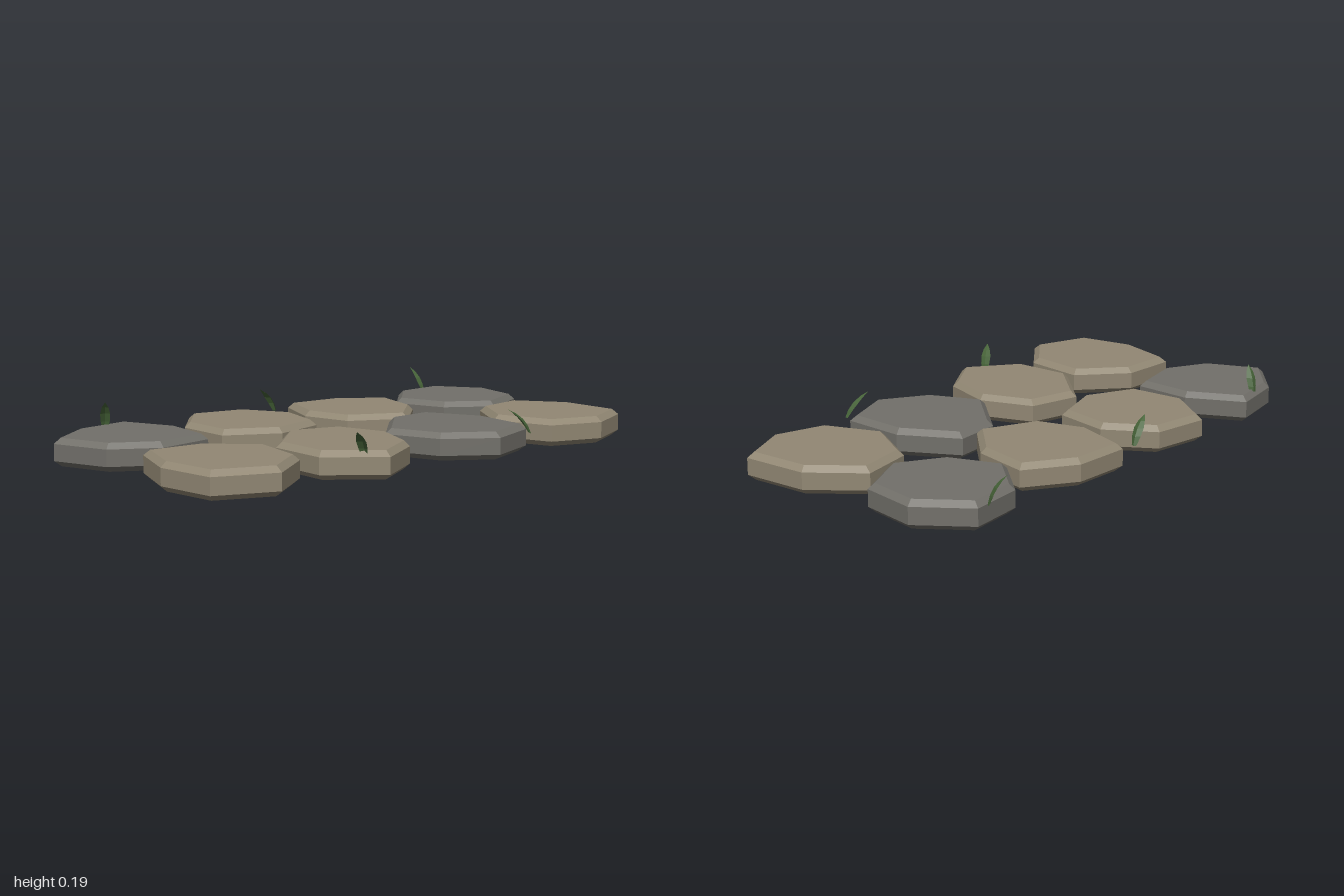
import * as THREE from 'three';

const sand = new THREE.MeshStandardMaterial({ color: 0x928874, flatShading: true });
const slate = new THREE.MeshStandardMaterial({ color: 0x72706a, flatShading: true });
const leaf = new THREE.MeshStandardMaterial({ color: 0x466338, flatShading: true, side: THREE.DoubleSide });

// Seven-sided outlines as [x, z], starting at the back corner
const stones = [
  ['stoneBackRight', slate, [[-.33, -1], [-.12, -.96], [-.025, -.76], [-.13, -.59], [-.33, -.52], [-.49, -.67], [-.51, -.875]]],
  ['stoneBackLeft', sand, [[.16, -.98], [.41, -.99], [.5, -.8], [.44, -.6], [.22, -.52], [.02, -.64], [-.02, -.845]]],
  ['stoneMidBackRight', sand, [[-.38, -.515], [-.165, -.46], [-.01, -.3], [-.11, -.09], [-.3, -.04], [-.51, -.12], [-.5, -.34]]],
  ['stoneMidBackLeft', slate, [[.195, -.49], [.435, -.475], [.515, -.27], [.4, -.09], [.2, -.01], [0, -.2], [-.015, -.38]]],
  ['stoneMidFrontRight', sand, [[-.32, .005], [-.11, .055], [-.045, .26], [-.14, .455], [-.365, .46], [-.535, .325], [-.5, .11]]],
  ['stoneMidFrontLeft', sand, [[.24, .01], [.44, .085], [.555, .27], [.41, .455], [.175, .455], [-.01, .27], [.04, .075]]],
  ['stoneFrontRight', slate, [[-.33, .515], [-.11, .535], [-.065, .75], [-.155, .92], [-.365, 1], [-.5, .83], [-.54, .61]]],
  ['stoneFrontLeft', sand, [[.175, .495], [.41, .535], [.545, .71], [.465, .93], [.235, .96], [.01, .88], [.02, .66]]],
];

// Grass blades: base and tip
const blades = [
  [[-.505, .075, -.82], [-.557, .177, -.79]],
  [[.485, .075, -.445], [.445, .163, -.37]],
  [[-.508, .075, -.055], [-.495, .165, .025]],
  [[.483, .075, .32], [.522, .17, .385]],
  [[-.51, .075, .705], [-.467, .185, .73]],
];

function build(positions, index) {
  const geo = new THREE.BufferGeometry();
  geo.setAttribute('position', new THREE.Float32BufferAttribute(positions, 3));
  geo.setIndex(index);
  const flat = geo.toNonIndexed();
  flat.computeVertexNormals();
  return flat;
}

// Slab with chamfered rims, closed to a centre point above and below
function stoneGeometry(outline) {
  const n = outline.length;
  const cx = outline.reduce((s, p) => s + p[0], 0) / n;
  const cz = outline.reduce((s, p) => s + p[1], 0) / n;
  const rings = [[0, 0], [.9, 0], [1, .02], [1, .08], [.91, .1], [0, .1]]; // [scale, y]
  const pos = [], idx = [];
  for (const [s, y] of rings) {
    for (const [x, z] of outline) pos.push(cx + (x - cx) * s, y, cz + (z - cz) * s);
  }
  for (let r = 0; r < rings.length - 1; r++) {
    for (let i = 0; i < n; i++) {
      const a0 = r * n + i, a1 = r * n + (i + 1) % n;
      const b0 = a0 + n, b1 = a1 + n;
      if (rings[r][0] > 0) idx.push(a0, b0, a1);
      if (rings[r + 1][0] > 0) idx.push(a1, b0, b1);
    }
  }
  return build(pos, idx);
}

// Pointed blade folded along its midrib, arching from base to tip
function bladeGeometry(base, tip) {
  const a = new THREE.Vector3(...base), c = new THREE.Vector3(...tip);
  const lean = new THREE.Vector3(c.x - a.x, 0, c.z - a.z);
  const control = a.clone().addScaledVector(lean, .3);
  control.y = a.y + (c.y - a.y) * .7;
  const curve = new THREE.QuadraticBezierCurve3(a, control, c);
  const across = new THREE.Vector3(lean.z, 0, -lean.x).normalize();
  const out = lean.normalize();
  const halfWidths = [.009, .016, .018, .012, .001];
  const pos = [], idx = [];
  halfWidths.forEach((w, i) => {
    const p = curve.getPoint(i / (halfWidths.length - 1));
    for (const s of [-1, 0, 1]) {
      const q = p.clone().addScaledVector(across, s * w).addScaledVector(out, s === 0 ? -w * .35 : w * .35);
      pos.push(q.x, q.y, q.z);
    }
    if (i === 0) return;
    for (let k = 0; k < 2; k++) {
      const d = i * 3 + k, e = d - 3;
      idx.push(e, e + 1, d, e + 1, d + 1, d);
    }
  });
  return build(pos, idx);
}

export function createModel() {
  const group = new THREE.Group();
  group.name = 'steppingStonePath';
  for (const [name, material, outline] of stones) {
    const mesh = new THREE.Mesh(stoneGeometry(outline), material);
    mesh.name = name;
    group.add(mesh);
  }
  blades.forEach(([base, tip], i) => {
    const mesh = new THREE.Mesh(bladeGeometry(base, tip), leaf);
    mesh.name = `grassBlade${i + 1}`;
    group.add(mesh);
  });
  return group;
}
